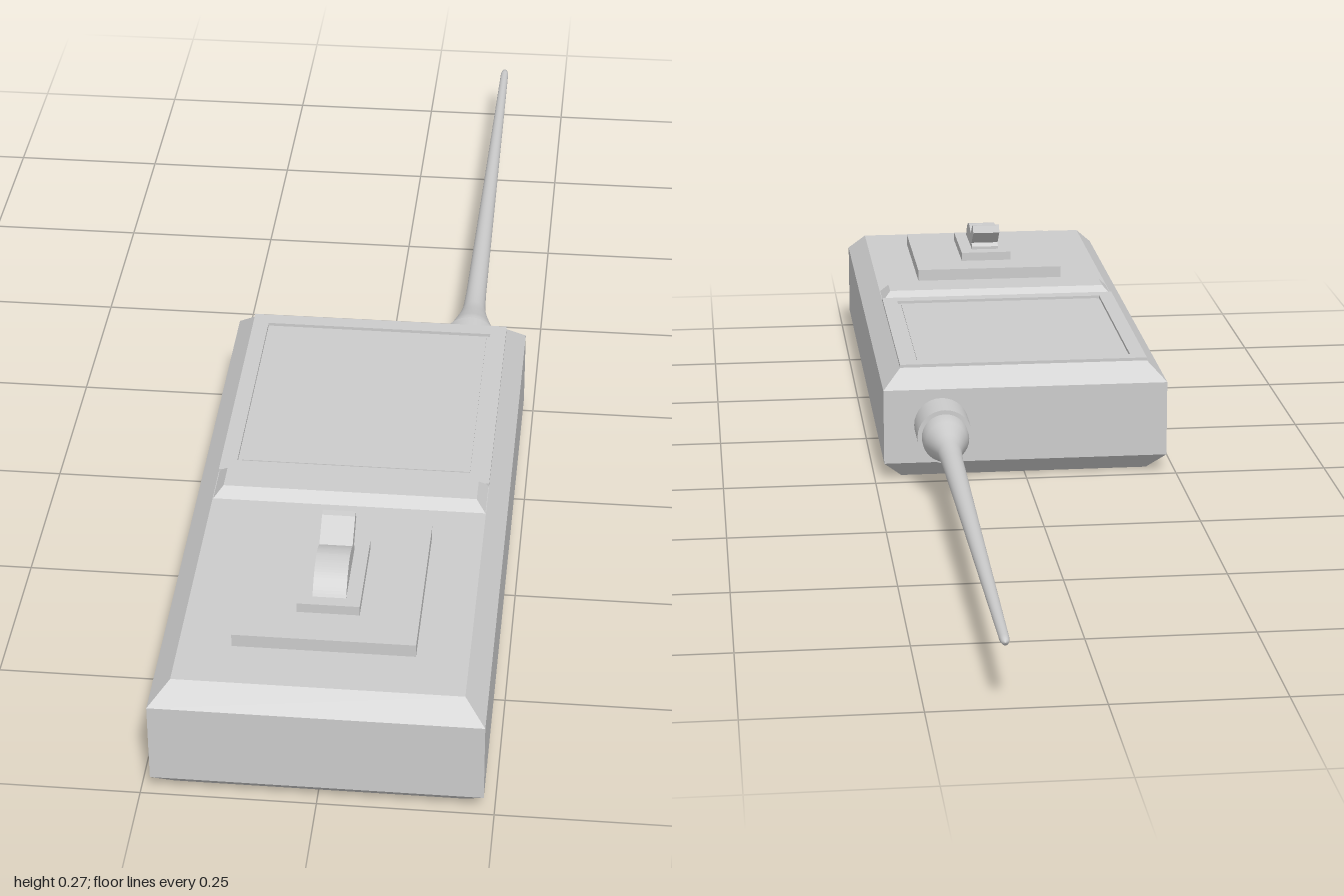
import * as THREE from 'three';

const material = new THREE.MeshStandardMaterial({ color: 0xcccccc, flatShading: true });
const smooth = new THREE.MeshStandardMaterial({ color: 0xcccccc });

export function createModel() {
  const group = new THREE.Group();

  const add = (name, geometry, mat = material) => {
    const mesh = new THREE.Mesh(geometry, mat);
    mesh.name = name;
    group.add(mesh);
    return mesh;
  };

  // Box between two heights whose top is inset on all sides
  const block = (name, halfX, y0, y1, z0, z1, inset = 0) => {
    const g = new THREE.BoxGeometry(halfX * 2, y1 - y0, z1 - z0);
    const p = g.attributes.position;
    for (let i = 0; i < p.count; i++) {
      if (p.getY(i) > 0) {
        p.setX(i, p.getX(i) - Math.sign(p.getX(i)) * inset);
        p.setZ(i, p.getZ(i) - Math.sign(p.getZ(i)) * inset);
      }
    }
    g.translate(0, (y0 + y1) / 2, (z0 + z1) / 2);
    g.computeVertexNormals();
    return add(name, g);
  };

  // Sideways extrusion of a (z, y) outline, centred on x = 0
  const sideExtrude = (name, shape, width) => {
    const g = new THREE.ExtrudeGeometry(shape, { depth: width, bevelEnabled: false, curveSegments: 16 });
    g.translate(0, 0, -width / 2);
    g.rotateY(-Math.PI / 2);
    return add(name, g);
  };

  // Case: rectangular rings bevelled at top and bottom
  const rings = [[0, 0.03], [0.03, 0], [0.155, 0], [0.185, 0.03]];
  const verts = [];
  for (const [y, inset] of rings) {
    const x = 0.235 - inset, back = 0.01 + inset, front = 1 - inset;
    verts.push(-x, y, front, x, y, front, x, y, back, -x, y, back);
  }
  const index = [0, 2, 1, 0, 3, 2, 12, 13, 14, 12, 14, 15];
  for (let r = 0; r < 3; r++) {
    for (let k = 0; k < 4; k++) {
      const a = r * 4 + k, b = r * 4 + (k + 1) % 4;
      index.push(a, b, b + 4, a, b + 4, a + 4);
    }
  }
  let body = new THREE.BufferGeometry();
  body.setAttribute('position', new THREE.Float32BufferAttribute(verts, 3));
  body.setIndex(index);
  body = body.toNonIndexed();
  body.computeVertexNormals();
  add('caseBody', body);

  // Raised frame around the sunken screen
  const rect = (Type, x, z0, z1) => new Type([
    new THREE.Vector2(-x, -z1), new THREE.Vector2(x, -z1),
    new THREE.Vector2(x, -z0), new THREE.Vector2(-x, -z0),
  ]);
  const frame = rect(THREE.Shape, 0.205, 0.04, 0.475);
  frame.holes.push(rect(THREE.Path, 0.18, 0.065, 0.45));
  const frameGeo = new THREE.ExtrudeGeometry(frame, { depth: 0.006, bevelEnabled: false });
  frameGeo.rotateX(-Math.PI / 2).translate(0, 0.184, 0);
  add('screenFrame', frameGeo);
  block('screen', 0.174, 0.18, 0.187, 0.071, 0.444);

  // Ridge between screen and switch
  block('ridge', 0.205, 0.184, 0.2, 0.47, 0.545, 0.015);

  // Stepped switch mount
  block('switchPlate', 0.13, 0.18, 0.205, 0.61, 0.89);
  block('switchBase', 0.045, 0.2, 0.22, 0.67, 0.83);

  // Rounded rocker with a slanted lever
  const dome = new THREE.Shape();
  dome.moveTo(0.695, 0.215);
  dome.lineTo(0.812, 0.215);
  dome.lineTo(0.812, 0.22);
  dome.quadraticCurveTo(0.79, 0.253, 0.755, 0.254);
  dome.quadraticCurveTo(0.725, 0.253, 0.695, 0.225);
  sideExtrude('switchRocker', dome, 0.048);
  const lever = new THREE.Shape([
    [0.735, 0.23], [0.713, 0.222], [0.668, 0.257], [0.672, 0.27], [0.683, 0.269], [0.728, 0.24],
  ].map(([z, y]) => new THREE.Vector2(z, y)));
  sideExtrude('switchLever', lever, 0.048);

  // Antenna collar and whip, lathed and laid along -z
  const lathe = (name, profile) => {
    const g = new THREE.LatheGeometry(profile.map(([r, d]) => new THREE.Vector2(r, d)), 32);
    g.rotateX(-Math.PI / 2).translate(0.14, 0.095, 0);
    return add(name, g, smooth);
  };
  const collar = new THREE.CylinderGeometry(0.045, 0.045, 0.08, 32);
  collar.rotateX(-Math.PI / 2).translate(0.14, 0.095, -0.02);
  add('antennaCollar', collar, smooth);
  lathe('antennaWhip', [
    [0.038, 0.05], [0.038, 0.075], [0.034, 0.09], [0.024, 0.125], [0.019, 0.15], [0.017, 0.2],
    [0.013, 0.5], [0.007, 0.985], [0.005, 0.997], [0, 1],
  ]);

  return group;
}
